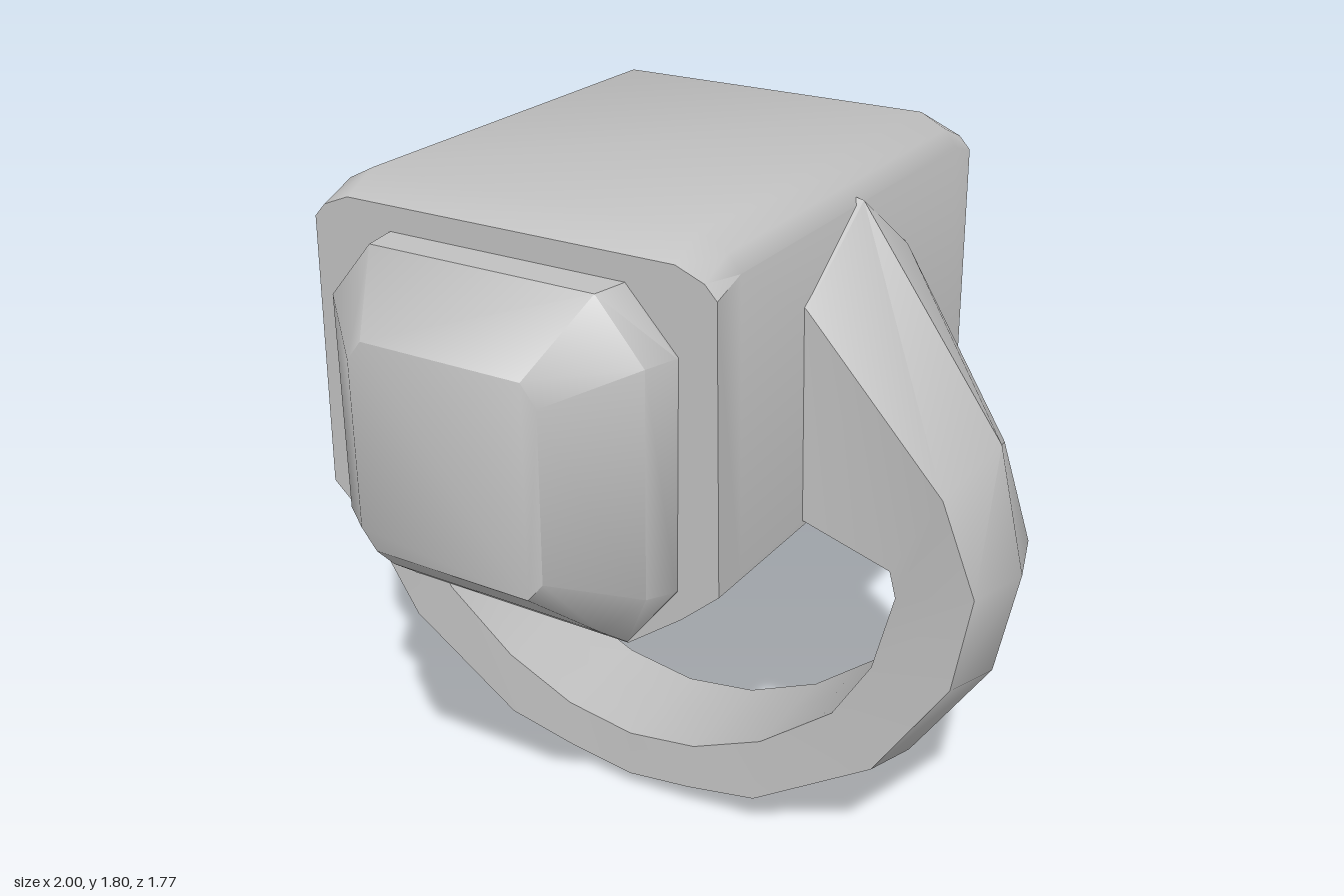
import * as THREE from 'three';
import { toCreasedNormals } from 'three/addons/utils/BufferGeometryUtils.js';

const metal = new THREE.MeshStandardMaterial({ color: 0xc0c0c0 });
metal.name = 'grey metal';

// Skin a row of equal-sized rings (anticlockwise seen from the far end) and close both ends.
function loft(name, rings, crease) {
  const n = rings[0].length, last = (rings.length - 1) * n;
  const points = rings.flat(), index = [];
  for (let r = 0; r < rings.length - 1; r++) {
    for (let i = 0; i < n; i++) {
      const a = r * n + i, b = r * n + (i + 1) % n;
      index.push(a, b, b + n, a, b + n, a + n);
    }
  }
  for (let i = 1; i < n - 1; i++) {
    index.push(0, i + 1, i, last, last + i, last + i + 1);
  }
  const geo = new THREE.BufferGeometry();
  geo.setAttribute('position', new THREE.Float32BufferAttribute(points.flat(), 3));
  geo.setIndex(index);
  const mesh = new THREE.Mesh(toCreasedNormals(geo, crease), metal);
  mesh.name = name;
  return mesh;
}

// Mirror a right-hand outline (bottom to top) into a full ring at depth z.
function symmetricRing(half, z) {
  const right = half.map(([x, y]) => [x, y, z]);
  const left = half.map(([x, y]) => [-x, y, z]).reverse();
  return [...right, ...left];
}

function createHead() {
  const body = [[0.31, 0.83], [0.45, 0.935], [0.545, 1.02], [0.53, 1.73], [0.5, 1.77], [0.43, 1.805]];
  const end = body.map(([x, y]) => [x, Math.min(y, y > 1.5 ? 1.70 + (y - 1.73) * 0.8 : y)]);
  return loft('head', [
    symmetricRing(end, -0.645), symmetricRing(body, -0.55),
    symmetricRing(body, 0.55), symmetricRing(end, 0.645),
  ], 0.75);
}

// Chamfered block on one end of the head.
function createEndBlock(name) {
  const section = (w, y0, y1, cx, cy0, cy1, z) => symmetricRing(
    [[w - cx, y0], [w, y0 + cy0], [w, y1 - cy1], [w - cx, y1]], z);
  return loft(name, [
    section(0.44, 0.83, 1.70, 0.13, 0.17, 0.14, 0.6),
    section(0.44, 0.835, 1.70, 0.13, 0.17, 0.14, 0.65),
    section(0.415, 0.90, 1.70, 0.12, 0.12, 0.14, 0.735),
    section(0.25, 1.03, 1.54, 0.04, 0.05, 0.05, 0.885),
  ], 0.75);
}

// Ring band: outer crest, outer edge and inner edge at each station, bottom to shoulder.
function createBand() {
  const stations = [
    // crest x, y   edge x, y, z        inner x, y, z
    [0.00, 0.00, 0.00, 0.05, 0.165, 0.00, 0.18, 0.16],
    [0.20, 0.04, 0.19, 0.08, 0.17, 0.20, 0.21, 0.16],
    [0.41, 0.08, 0.39, 0.12, 0.17, 0.40, 0.30, 0.16],
    [0.75, 0.31, 0.72, 0.34, 0.17, 0.60, 0.46, 0.16],
    [0.95, 0.62, 0.91, 0.64, 0.17, 0.70, 0.63, 0.16],
    [1.00, 0.90, 0.95, 0.90, 0.17, 0.75, 0.84, 0.16],
    [0.92, 1.22, 0.86, 1.14, 0.185, 0.74, 0.92, 0.18],
    [0.54, 1.74, 0.54, 1.56, 0.265, 0.56, 1.03, 0.255],
    [0.49, 1.75, 0.49, 1.60, 0.265, 0.49, 1.05, 0.255],
  ];
  const ring = (s, side) => {
    const [cx, cy, ex, ey, ez, ix, iy, iz] = s;
    return [
      [side * cx, cy, 0], [side * ex, ey, -ez], [side * ix, iy, -iz],
      [side * ix, iy, 0], [side * ix, iy, iz], [side * ex, ey, ez],
    ];
  };
  const left = stations.slice(1).reverse().map((s) => ring(s, -1));
  return loft('band', [...left, ...stations.map((s) => ring(s, 1))], 0.8);
}

export function createModel() {
  const model = new THREE.Group();
  model.name = 'signetRing';
  const front = createEndBlock('frontBlock');
  const back = createEndBlock('backBlock');
  back.rotation.y = Math.PI;
  model.add(createHead(), front, back, createBand());
  return model;
}
